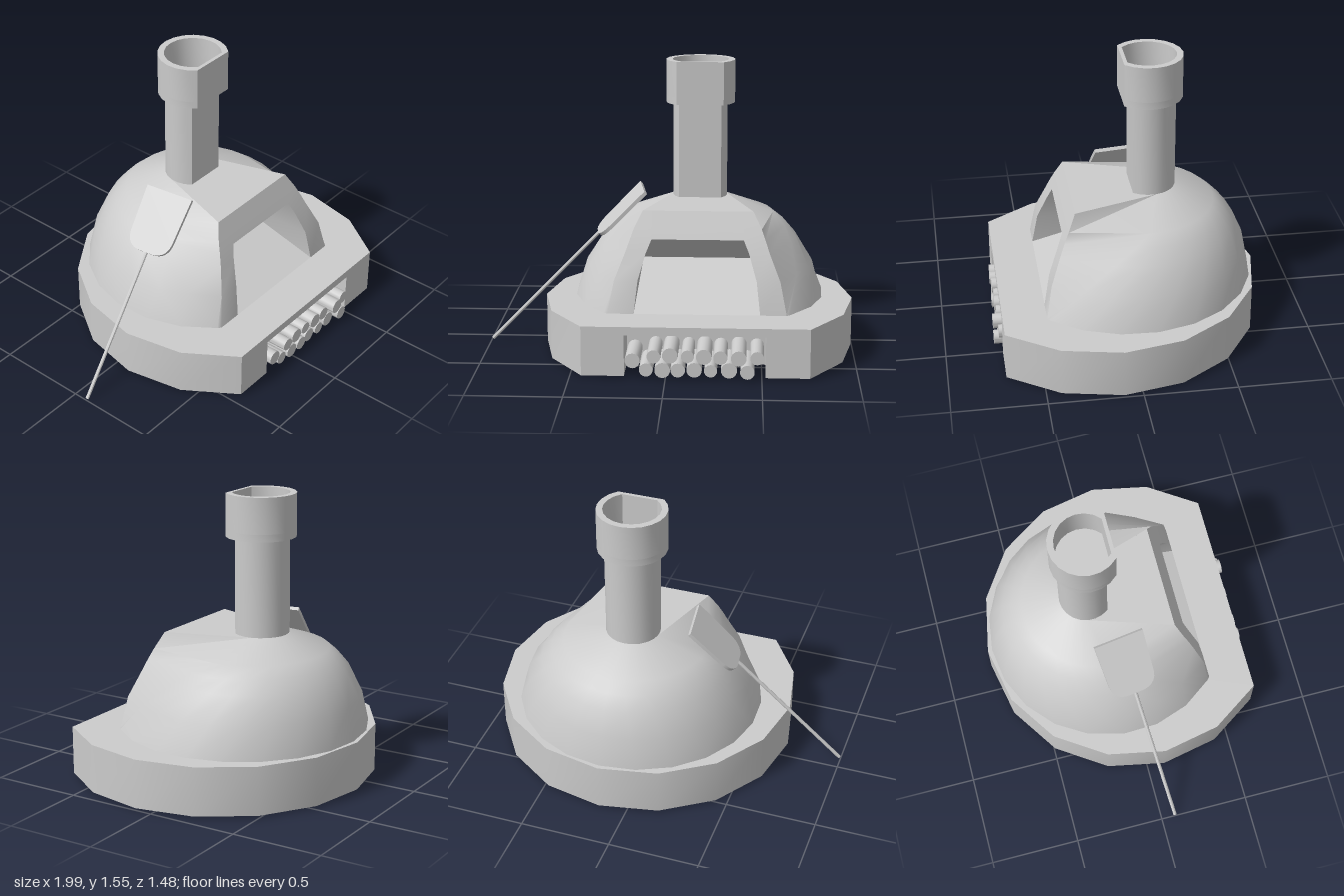
import * as THREE from 'three';
import { toCreasedNormals } from 'three/addons/utils/BufferGeometryUtils.js';

const CX = 0.155; // oven axis in x
const BASE_Y = 0.01, DECK_Y = 0.275;
const mat = new THREE.MeshStandardMaterial({ color: 0xcccccc, side: THREE.DoubleSide });

function mesh(name, geometry, parent, crease = 0.75) {
  const m = new THREE.Mesh(toCreasedNormals(geometry, crease), mat);
  m.name = name;
  parent.add(m);
  return m;
}

function indexed(points, index) {
  const g = new THREE.BufferGeometry();
  g.setAttribute('position', new THREE.Float32BufferAttribute(points.flat(), 3));
  g.setIndex(index);
  return g;
}

// Skin between equally long rows of [x, y, z]; closeFrom = first row whose ends are joined
function loft(rows, closeFrom = Infinity) {
  const n = rows[0].length, index = [];
  for (let j = 0; j < rows.length - 1; j++) {
    for (let i = 0; i < (j >= closeFrom ? n : n - 1); i++) {
      const k = (i + 1) % n;
      const a = j * n + i, b = j * n + k, c = b + n, d = a + n;
      index.push(a, b, c, a, c, d);
    }
  }
  return indexed(rows.flat(), index);
}

// Points on an arc seen from above, measured from the front (+z) towards +x
function arc(r, cz, from, to, steps) {
  return Array.from({ length: steps + 1 }, (_, i) => {
    const t = THREE.MathUtils.degToRad(from + ((to - from) * i) / steps);
    return [r * Math.sin(t), cz + r * Math.cos(t)];
  });
}

const plan = (pts) => pts.map(([x, z]) => new THREE.Vector2(x, -z));

// Flat plate or upright prism from a plan outline
function flat(pts, y, holes = []) {
  const s = new THREE.Shape(plan(pts));
  holes.forEach((h) => s.holes.push(new THREE.Path(plan(h))));
  return new THREE.ShapeGeometry(s).rotateX(-Math.PI / 2).translate(0, y, 0);
}
function prism(pts, y0, y1, holes = []) {
  const s = new THREE.Shape(plan(pts));
  holes.forEach((h) => s.holes.push(new THREE.Path(plan(h))));
  return new THREE.ExtrudeGeometry(s, { depth: y1 - y0, bevelEnabled: false })
    .rotateX(-Math.PI / 2).translate(0, y0, 0);
}

// Circle with its front cut off flat
const clippedCircle = (r, cz, clip) => {
  const cut = THREE.MathUtils.radToDeg(Math.acos((clip - cz) / r));
  return arc(r, cz, cut, 360 - cut, 16);
};

// Dome levels: y, radius, centre z, porch half width, porch z, mouth half width, arc start angle
const LEVELS = [
  [0.275, 0.685, -0.03, 0.475, 0.46, 0.335, 46],
  [0.45, 0.625, -0.055, 0.44, 0.43, 0.315, 58],
  [0.585, 0.535, -0.085, 0.385, 0.378, 0.275, 70],
  [0.655, 0.475, -0.09, 0.36, 0.35, 0.245, 80],
  [0.71, 0.405, -0.1, 0.34, 0.325, 0.245, 90],
  [0.797, 0.15, -0.145, 0.295, 0.285, 0.245, 100],
];
const section = ([, r, cz, w, z, m, a]) =>
  [[m, z], [w, z], ...arc(r, cz, a, 360 - a, 16), [-w, z], [-m, z]];

function addBase(oven) {
  const outline = arc(0.84, 0.1, 45, 315, 12); // 16 sides, front three merged
  const [cornerX, front] = outline[0];
  mesh('baseWall', loft([BASE_Y, DECK_Y].map((y) => outline.map(([x, z]) => [x, y, z]))), oven);
  mesh('baseDeck', flat(outline, DECK_Y, [section(LEVELS[0])]), oven);

  // Front wall with the wood store notch
  const L = -0.37, R = 0.365, top = 0.23, back = 0.48;
  const wall = new THREE.Shape([
    [-cornerX, BASE_Y], [L, BASE_Y], [L, top], [R, top], [R, BASE_Y],
    [cornerX, BASE_Y], [cornerX, DECK_Y], [-cornerX, DECK_Y],
  ].map(([x, y]) => new THREE.Vector2(x, y)));
  mesh('baseFront', new THREE.ShapeGeometry(wall).translate(0, 0, front), oven);
  const rim = [[L, BASE_Y], [L, top], [R, top], [R, BASE_Y]];
  mesh('woodStoreLining', loft([back, front].map((z) => rim.map(([x, y]) => [x, y, z]))), oven);
  mesh('woodStoreBack', new THREE.PlaneGeometry(R - L, top - BASE_Y)
    .translate((L + R) / 2, (top + BASE_Y) / 2, back), oven);
}

function addDome(oven) {
  const rows = LEVELS.map((l) => section(l).map(([x, z]) => [x, l[0], z]));
  mesh('dome', loft(rows, 3), oven);
  mesh('porchRoof', flat(section(LEVELS[5]), LEVELS[5][0]), oven);

  // Mouth recess: rising floor, falling ceiling and two fan-shaped cheeks
  const pts = [[-0.315, 0.44, -0.1], [0.315, 0.44, -0.1]];
  LEVELS.slice(0, 4).forEach(([y, , , , z, m]) => pts.push([-m, y, z], [m, y, z]));
  const index = [2, 3, 1, 2, 1, 0, 0, 1, 9, 0, 9, 8];
  for (let j = 2; j < 8; j += 2) index.push(0, j + 2, j, 1, j + 1, j + 3);
  mesh('mouthRecess', indexed(pts, index), oven);
}

function addChimney(oven) {
  mesh('chimney', prism(clippedCircle(0.15, -0.145, -0.05), 0.72, 1.33), oven);
  const cap = clippedCircle(0.19, -0.14, 0);
  const flue = clippedCircle(0.155, -0.14, -0.02);
  mesh('chimneyCapFloor', prism(cap, 1.32, 1.36), oven);
  mesh('chimneyCap', prism(cap, 1.36, 1.555, [flue]), oven);
}

function addLogs(parent) {
  // x, y, radius, front z
  const logs = [
    [-0.17, 0.1, 0.04, 0.715], [-0.06, 0.125, 0.036, 0.72], [0.025, 0.13, 0.041, 0.715],
    [0.115, 0.125, 0.034, 0.71], [0.2, 0.125, 0.041, 0.715], [0.285, 0.12, 0.037, 0.71],
    [0.38, 0.125, 0.041, 0.735], [0.475, 0.12, 0.036, 0.71], [-0.1, 0.05, 0.036, 0.71],
    [-0.015, 0.05, 0.041, 0.715], [0.065, 0.053, 0.038, 0.72], [0.15, 0.052, 0.04, 0.71],
    [0.235, 0.05, 0.034, 0.715], [0.33, 0.052, 0.042, 0.71], [0.425, 0.052, 0.038, 0.735],
  ];
  const group = new THREE.Group();
  group.name = 'firewood';
  for (const [x, y, r, z] of logs) {
    const len = z - 0.48;
    mesh('log', new THREE.CylinderGeometry(r, r, len, 14).rotateX(Math.PI / 2), group)
      .position.set(x, y, z - len / 2);
  }
  parent.add(group);
}

// Long-handled paddle leaning on the dome: local x runs up the handle, local y across the blade
function addPeel(parent) {
  const peel = new THREE.Group();
  peel.name = 'peel';
  mesh('peelHandle', new THREE.CylinderGeometry(0.01, 0.01, 0.88, 8)
    .rotateZ(Math.PI / 2).translate(0.44, 0, 0), peel);
  const s = new THREE.Shape();
  s.moveTo(1.195, -0.142);
  s.lineTo(1.195, 0.142);
  s.lineTo(0.93, 0.132);
  s.quadraticCurveTo(0.855, 0.125, 0.845, 0.05);
  s.lineTo(0.845, -0.05);
  s.quadraticCurveTo(0.855, -0.125, 0.93, -0.132);
  mesh('peelBlade', new THREE.ExtrudeGeometry(s, { depth: 0.02, bevelEnabled: false, curveSegments: 5 })
    .translate(0, 0, -0.01), peel);
  const along = new THREE.Vector3(0.838, 0.845, -0.12).normalize();
  const across = new THREE.Vector3(0.12, 0, 0.838).normalize();
  const normal = new THREE.Vector3().crossVectors(along, across);
  peel.quaternion.setFromRotationMatrix(new THREE.Matrix4().makeBasis(along, across, normal));
  peel.position.set(-0.993, 0.008, 0.08);
  parent.add(peel);
}

export function createModel() {
  const model = new THREE.Group();
  model.name = 'domedOven';
  const oven = new THREE.Group();
  oven.name = 'oven';
  oven.position.x = CX;
  model.add(oven);
  addBase(oven);
  addDome(oven);
  addChimney(oven);
  addLogs(model);
  addPeel(model);
  return model;
}
